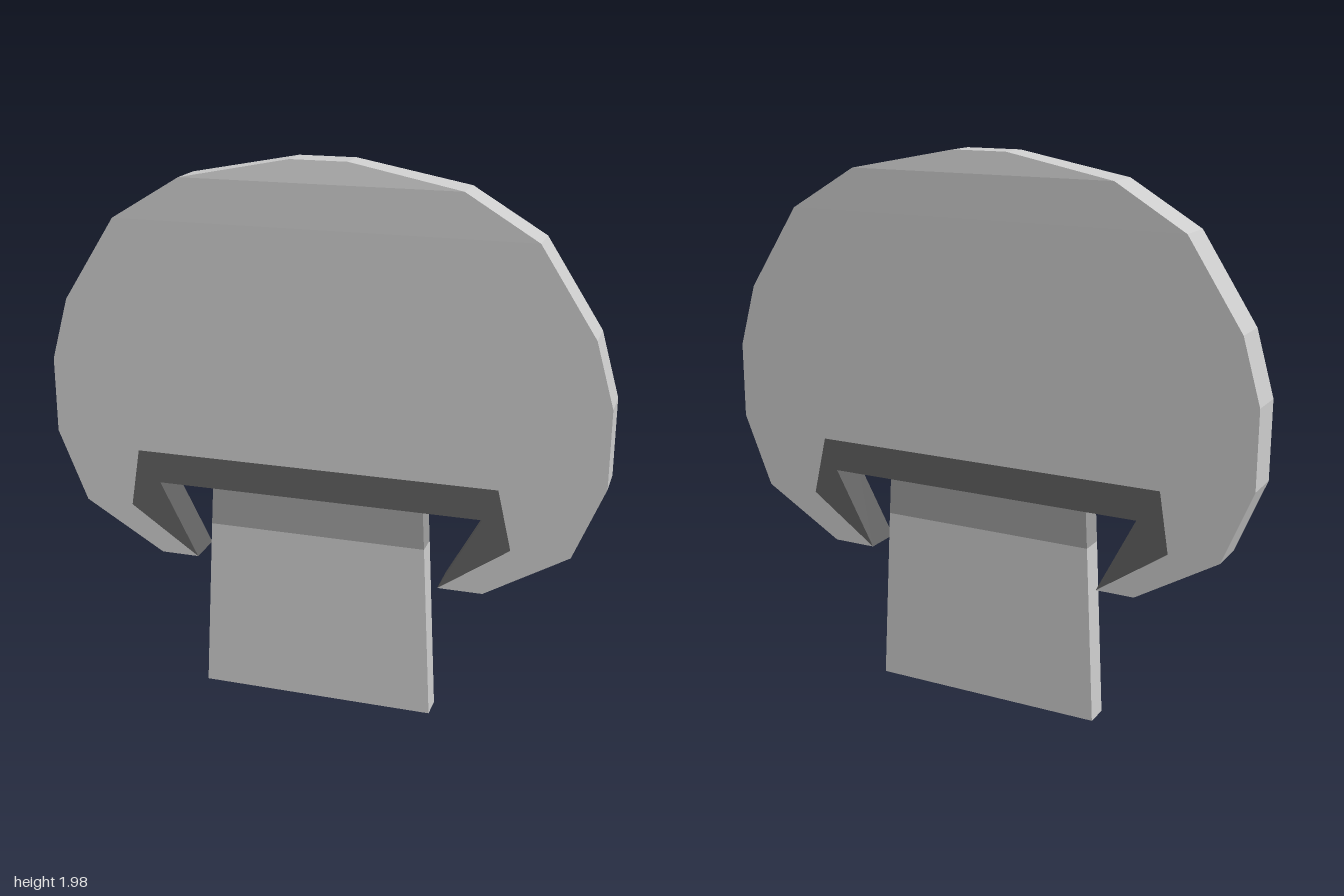
import * as THREE from 'three';

const HALF_DEPTH = 0.07;

const material = (color) => new THREE.MeshStandardMaterial({ color, flatShading: true });

// Flat slab with a straight-sided outline, centred on z = 0
function slab(points) {
  const shape = new THREE.Shape(points.map(([x, y]) => new THREE.Vector2(x, y)));
  const geometry = new THREE.ExtrudeGeometry(shape, { depth: 2 * HALF_DEPTH, bevelEnabled: false });
  return geometry.translate(0, 0, -HALF_DEPTH);
}

// Stack of rectangular sections, each given as [y, half width, half depth]
function loft(sections, closeBottom, closeTop) {
  const positions = [];
  const rings = sections.map(([y, w, d]) => [[-w, y, d], [w, y, d], [w, y, -d], [-w, y, -d]]);
  const quad = (a, b, c, d) => positions.push(...a, ...b, ...c, ...a, ...c, ...d);
  for (let i = 0; i < rings.length - 1; i++) {
    const lower = rings[i], upper = rings[i + 1];
    for (let k = 0; k < 4; k++) {
      const n = (k + 1) % 4;
      quad(lower[k], lower[n], upper[n], upper[k]);
    }
  }
  if (closeBottom) quad(...[...rings[0]].reverse());
  if (closeTop) quad(...rings[rings.length - 1]);
  const geometry = new THREE.BufferGeometry();
  geometry.setAttribute('position', new THREE.Float32BufferAttribute(positions, 3));
  geometry.computeVertexNormals();
  return geometry;
}

export function createModel() {
  const group = new THREE.Group();
  const grey = material(0xcccccc);
  const shade = material(0x9e9e9e);
  const dark = material(0x606060);

  const add = (name, geometry, mat) => {
    const mesh = new THREE.Mesh(geometry, mat);
    mesh.name = name;
    group.add(mesh);
    return mesh;
  };

  // Cap: outer rim from the lower right hook up to the shoulder, mirrored for the other side
  const rim = [[0.6, 0.515], [0.895, 0.69], [1, 0.95], [1, 1.225], [0.935, 1.45], [0.74, 1.75]];
  const mirroredRim = rim.map(([x, y]) => [-x, y]).reverse();
  // Edge where the cap meets the dark gills, from left hook tip to right hook tip
  const gillEdge = [[-0.46, 0.515], [-0.715, 0.69], [-0.68, 0.905], [0.64, 0.905], [0.69, 0.69], [0.44, 0.515]];
  add('cap', slab([...rim, ...mirroredRim, ...gillEdge]), grey);

  // Crown: the top of the cap thins toward its peak
  add('crown', loft([[1.75, 0.74, 0.07], [1.9, 0.49, 0.067], [1.975, 0.1, 0.053]], false, true), grey);

  // Gills: dark band lining the notch under the cap
  add('gills', slab([...gillEdge, [0.59, 0.79], [-0.6, 0.79]]), dark);

  // Stem, with a shaded collar just under the gills
  const stem = add('stem', loft([[0, 0.43, 0.043], [0.645, 0.397, 0.043]], true, false), grey);
  const collar = add('stemCollar', loft([[0.645, 0.397, 0.043], [0.79, 0.389, 0.043]], false, true), shade);
  for (const part of [stem, collar]) part.position.set(-0.012, 0, 0.008);

  return group;
}
